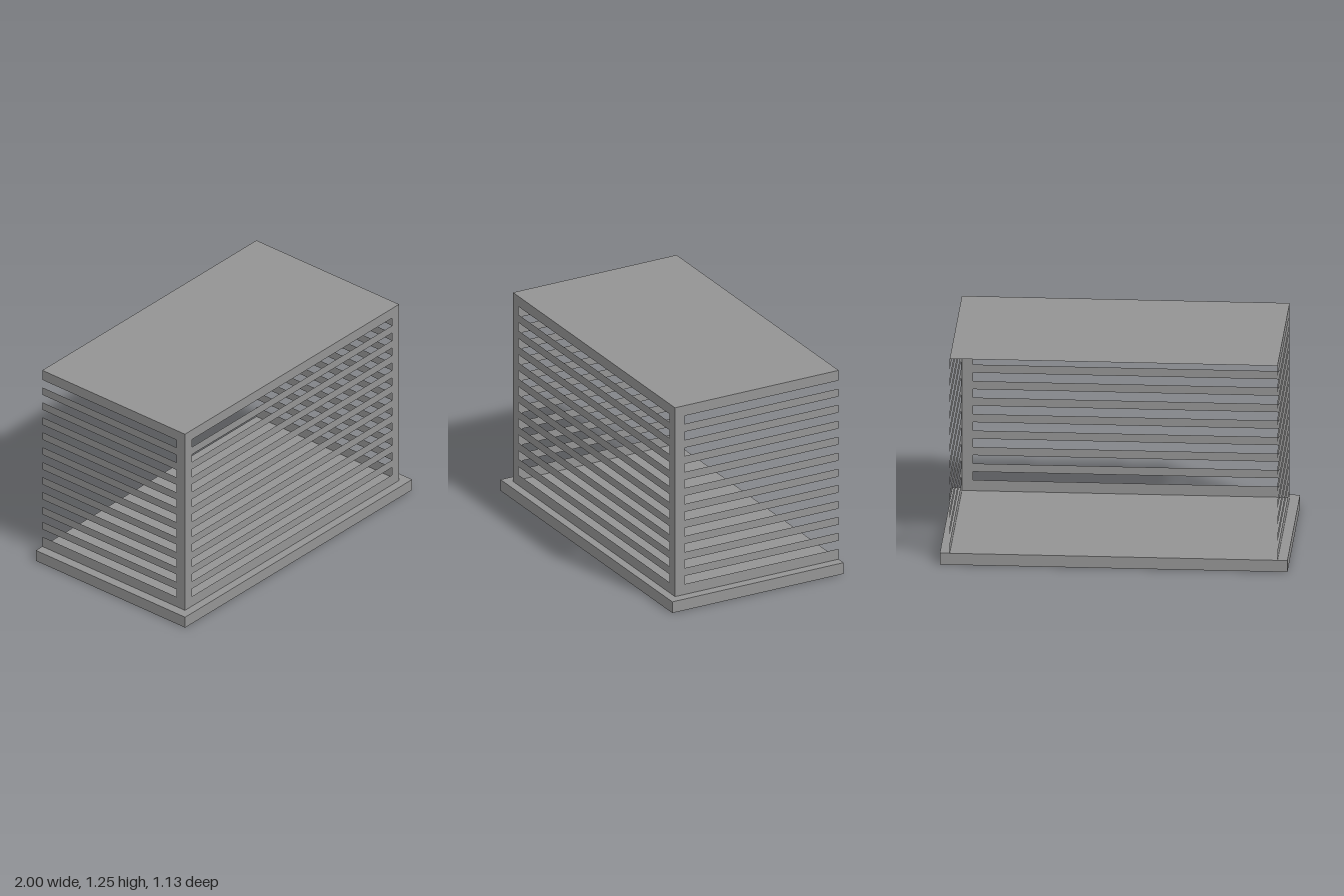
import * as THREE from 'three';

const BASE_TOP = 0.07, TOP = 1.255;          // panel height range
const HALF_W = 0.943, FRONT = 0.515, BACK = -0.565;
const FRAME = 0.063;                         // width of the corner posts
const SLOTS = 11, FIRST = 0.135, PITCH = 0.1005, SLOT_H = 0.051;

export function createModel() {
  const group = new THREE.Group();
  const grey = new THREE.MeshStandardMaterial({ color: 0x949494, side: THREE.DoubleSide });
  grey.name = 'grey';

  const add = (name, geometry) => {
    const mesh = new THREE.Mesh(geometry, grey);
    mesh.name = name;
    group.add(mesh);
    return mesh;
  };

  // Base slab
  add('base', new THREE.BoxGeometry(2, BASE_TOP, 1.13)).position.y = BASE_TOP / 2;

  // Thin roof sheet
  const roof = add('roof', new THREE.PlaneGeometry(HALF_W * 2, FRONT - BACK));
  roof.rotation.x = -Math.PI / 2;
  roof.position.set(0, TOP, (FRONT + BACK) / 2);

  // Front sheet: a frame with horizontal slots
  const front = new THREE.Shape([
    new THREE.Vector2(-HALF_W, BASE_TOP), new THREE.Vector2(HALF_W, BASE_TOP),
    new THREE.Vector2(HALF_W, TOP), new THREE.Vector2(-HALF_W, TOP),
  ]);
  const inner = HALF_W - FRAME;
  for (let i = 0; i < SLOTS; i++) {
    const y = FIRST + i * PITCH;
    front.holes.push(new THREE.Path([
      new THREE.Vector2(-inner, y), new THREE.Vector2(-inner, y + SLOT_H),
      new THREE.Vector2(inner, y + SLOT_H), new THREE.Vector2(inner, y),
    ]));
  }
  add('frontPanel', new THREE.ShapeGeometry(front)).position.z = FRONT;

  // Side sheets: a comb whose slots run out at the open back
  const comb = new THREE.Shape();
  comb.moveTo(FRONT, BASE_TOP);
  comb.lineTo(FRONT, TOP);
  comb.lineTo(BACK, TOP);
  for (let i = SLOTS - 1; i >= 0; i--) {
    const y = FIRST + i * PITCH;
    comb.lineTo(BACK, y + SLOT_H);
    comb.lineTo(FRONT - FRAME, y + SLOT_H);
    comb.lineTo(FRONT - FRAME, y);
    comb.lineTo(BACK, y);
  }
  comb.lineTo(BACK, BASE_TOP);
  comb.closePath();
  const combGeometry = new THREE.ShapeGeometry(comb);
  for (const [name, side] of [['leftPanel', 1], ['rightPanel', -1]]) {
    const panel = add(name, combGeometry);
    panel.rotation.y = -Math.PI / 2;
    panel.position.x = side * HALF_W;
  }

  return group;
}
